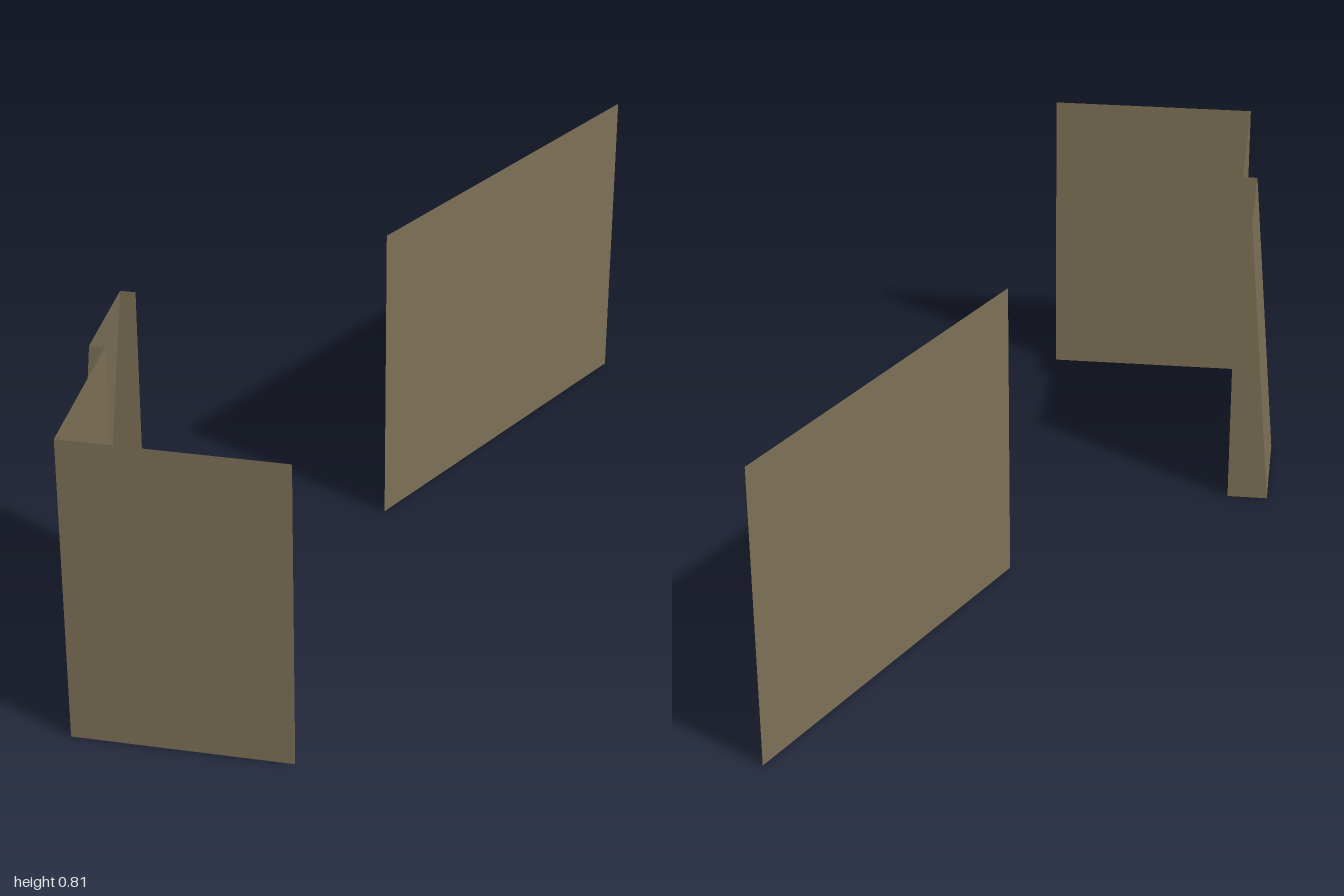
import * as THREE from 'three';

const HEIGHT = 0.81;

export function createModel() {
  const model = new THREE.Group();
  model.name = 'wallPanels';

  const brown = new THREE.MeshStandardMaterial({ color: 0x7c7056, side: THREE.DoubleSide });
  brown.name = 'mudBrown';

  // Thin wall between two [x, z] points; the top edge may shift inwards.
  function addWall(parent, name, a, b, topA = a, topB = b) {
    const geometry = new THREE.BufferGeometry();
    geometry.setAttribute('position', new THREE.Float32BufferAttribute([
      a[0], 0, a[1], b[0], 0, b[1],
      topB[0], HEIGHT, topB[1], topA[0], HEIGHT, topA[1],
    ], 3));
    geometry.setIndex([0, 1, 2, 0, 2, 3]);
    geometry.computeVertexNormals();
    const mesh = new THREE.Mesh(geometry, brown);
    mesh.name = name;
    parent.add(mesh);
  }

  // Corner: front wall and side wall
  addWall(model, 'frontWall', [-0.45, 1], [0.085, 1]);
  addWall(model, 'sideWall', [-0.45, 0.58], [-0.45, 1]);

  // Buttress: open shell with a leaning outer face
  const buttress = new THREE.Group();
  buttress.name = 'buttress';
  const inner = -0.45, foot = -0.555, head = -0.488, front = 0.58, back = 0.305;
  addWall(buttress, 'buttressFront', [foot, front], [inner, front], [head, front], [inner, front]);
  addWall(buttress, 'buttressOuterFace', [foot, back], [foot, front], [head, back], [head, front]);
  addWall(buttress, 'buttressBack', [inner, back], [foot, back], [inner, back], [head, back]);
  model.add(buttress);

  // Separate diagonal wall
  addWall(model, 'diagonalWall', [0.085, -0.105], [0.555, -1]);

  return model;
}
